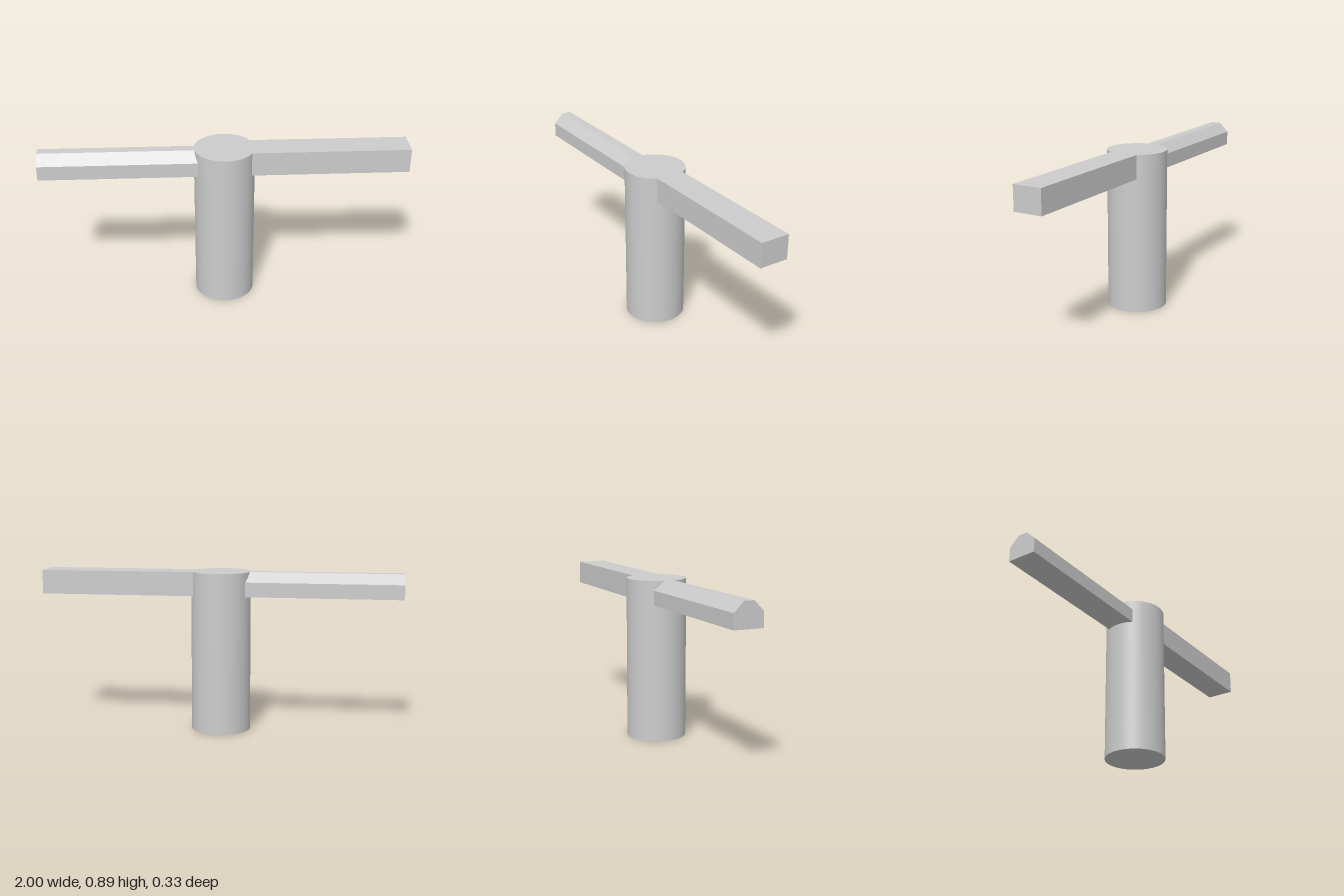
import * as THREE from 'three';

const RADIUS = 0.165, TOP = 0.893, BOTTOM = 0.76, HALF = 0.08;

// Straight arm: a profile run outwards, its inner end fitted to the round post
function arm(name, points, side, material) {
  const shape = new THREE.Shape(points.map(([x, y]) => new THREE.Vector2(x, y)));
  const geo = new THREE.ExtrudeGeometry(shape, { depth: 1, bevelEnabled: false });
  const pos = geo.attributes.position;
  for (let i = 0; i < pos.count; i++) {
    const x = pos.getX(i);
    if (pos.getZ(i) < 0.5) pos.setZ(i, Math.sqrt(RADIUS * RADIUS - x * x));
  }
  geo.computeVertexNormals();
  geo.rotateY(side * Math.PI / 2);
  const mesh = new THREE.Mesh(geo, material);
  mesh.name = name;
  return mesh;
}

export function createModel() {
  const group = new THREE.Group();
  group.name = 'postWithArms';
  const grey = new THREE.MeshStandardMaterial({ color: 0xcccccc });
  grey.name = 'light grey';

  // Round post
  const post = new THREE.Mesh(new THREE.CylinderGeometry(RADIUS, RADIUS, TOP, 64), grey);
  post.name = 'post';
  post.position.y = TOP / 2;
  group.add(post);

  // Square arm on the left
  group.add(arm('squareArm',
    [[-HALF, BOTTOM], [HALF, BOTTOM], [HALF, TOP], [-HALF, TOP]], 1, grey));

  // Arm with chamfered top edges on the right
  group.add(arm('chamferedArm',
    [[-HALF, BOTTOM], [HALF, BOTTOM], [HALF, 0.84], [0.027, TOP], [-0.027, TOP], [-HALF, 0.84]],
    -1, grey));

  return group;
}
